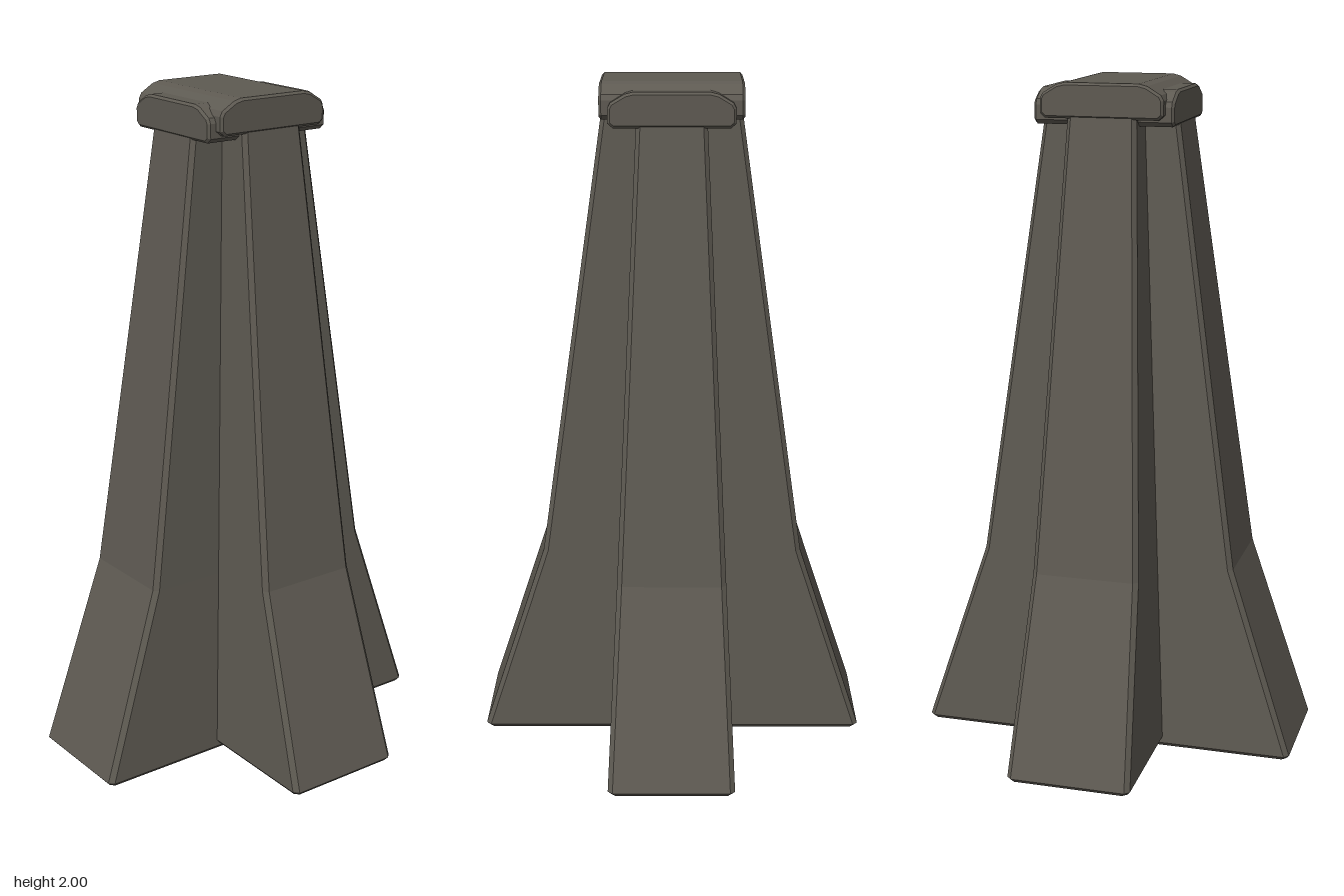
import * as THREE from 'three';

// Closed loft through octagonal (chamfered rectangle) rings: [y, halfLength, halfThickness, chamfer]
function loft(levels) {
  const rings = levels.map(([y, x, z, c]) => [
    [x, y, -z + c], [x - c, y, -z], [-x + c, y, -z], [-x, y, -z + c],
    [-x, y, z - c], [-x + c, y, z], [x - c, y, z], [x, y, z - c],
  ]);
  const pos = [];
  const tri = (a, b, c) => pos.push(...a, ...b, ...c);
  for (let i = 0; i < rings.length - 1; i++) {
    for (let j = 0; j < 8; j++) {
      const k = (j + 1) % 8, lo = rings[i], hi = rings[i + 1];
      tri(lo[j], lo[k], hi[k]);
      tri(lo[j], hi[k], hi[j]);
    }
  }
  const bottom = rings[0], top = rings[rings.length - 1];
  for (let j = 1; j < 7; j++) {
    tri(bottom[0], bottom[j + 1], bottom[j]);
    tri(top[0], top[j], top[j + 1]);
  }
  const g = new THREE.BufferGeometry();
  g.setAttribute('position', new THREE.Float32BufferAttribute(pos, 3));
  g.computeVertexNormals();
  return g;
}

// Cap: chamfered profile extruded along x, with small bevelled ends
function capGeometry() {
  const half = [[0.165, 1.88], [0.18, 1.893], [0.18, 1.935], [0.172, 1.95], [0.132, 1.974], [0.108, 1.98]];
  const pts = [...half, ...half.map(([x, y]) => [-x, y]).reverse()];
  const shape = new THREE.Shape(pts.map(([x, y]) => new THREE.Vector2(x, y)));
  const b = 0.007, length = 0.41;
  const g = new THREE.ExtrudeGeometry(shape, {
    depth: length - 2 * b, bevelEnabled: true, bevelThickness: b, bevelSize: b, bevelOffset: -b, bevelSegments: 1,
  });
  g.translate(0, 0, -(length - 2 * b) / 2);
  g.rotateY(Math.PI / 2);
  return g;
}

export function createModel() {
  const model = new THREE.Group();
  model.name = 'crossPillar';
  const stone = new THREE.MeshStandardMaterial({ color: 0x5e5a52, flatShading: true });
  stone.name = 'darkStone';

  const slab = loft([
    [0, 0.565, 0.175, 0.012],
    [0.012, 0.575, 0.185, 0.014],
    [0.58, 0.388, 0.159, 0.014],
    [1.9, 0.2, 0.1, 0.012],
  ]);
  const cap = capGeometry();

  // Two crossing slabs with caps, one slightly higher than the other
  const half = (name, turn, lift) => {
    const g = new THREE.Group();
    g.name = name;
    for (const [part, geo] of [['flaredSlab', slab], ['cap', cap]]) {
      const m = new THREE.Mesh(geo, stone);
      m.name = part;
      g.add(m);
    }
    g.rotation.y = turn;
    g.position.y = lift;
    model.add(g);
  };
  half('sidewaysButtress', 0, 0);
  half('frontBackButtress', Math.PI / 2, 0.02);
  return model;
}
